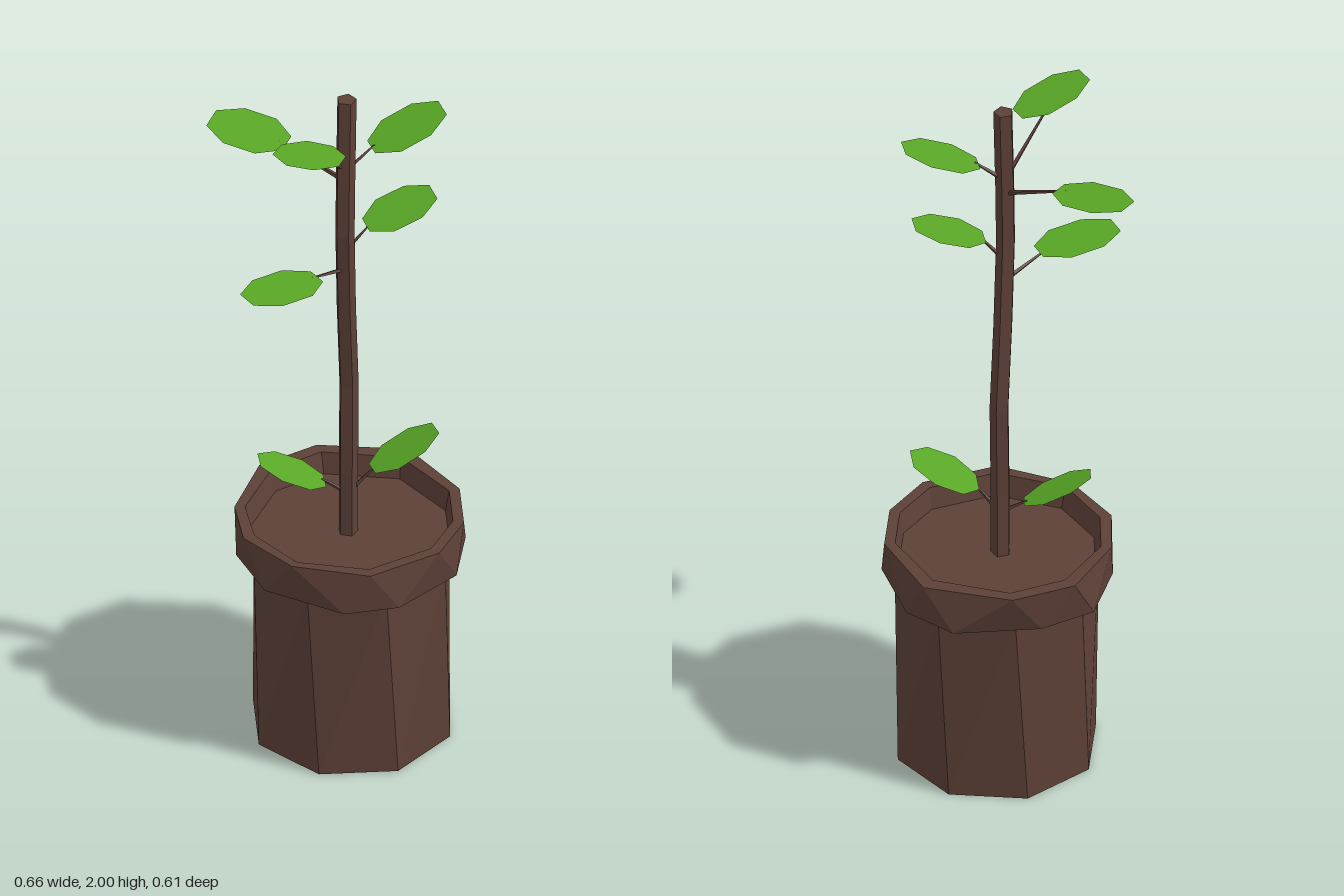
import * as THREE from 'three';

const bark = new THREE.MeshStandardMaterial({ color: 0x5d4037 });
bark.name = 'brown';
const green = new THREE.MeshStandardMaterial({ color: 0x58a625, side: THREE.DoubleSide });
green.name = 'leafGreen';

// Horizontal ring of points from angles in degrees (from +x towards +z) and radii
function ring(cx, y, cz, angles, radii) {
  return angles.map((a, i) => {
    const r = Array.isArray(radii) ? radii[i] : radii;
    const t = THREE.MathUtils.degToRad(a);
    return [cx + r * Math.cos(t), y, cz + r * Math.sin(t)];
  });
}

const even = (n, start = 0) => Array.from({ length: n }, (_, i) => start + (i * 360) / n);

// Faceted skin through a list of rings, optionally capped at both ends
function loft(name, rings, capStart, capEnd) {
  const p = [];
  const n = rings[0].length;
  for (let k = 0; k < rings.length - 1; k++) {
    for (let i = 0; i < n; i++) {
      const j = (i + 1) % n;
      const a = rings[k][i], b = rings[k][j], c = rings[k + 1][i], d = rings[k + 1][j];
      p.push(...a, ...c, ...b, ...b, ...c, ...d);
    }
  }
  const first = rings[0], last = rings[rings.length - 1];
  for (let i = 1; i < n - 1; i++) {
    if (capStart) p.push(...first[0], ...first[i], ...first[i + 1]);
    if (capEnd) p.push(...last[0], ...last[i + 1], ...last[i]);
  }
  const g = new THREE.BufferGeometry();
  g.setAttribute('position', new THREE.Float32BufferAttribute(p, 3));
  g.computeVertexNormals();
  const mesh = new THREE.Mesh(g, bark);
  mesh.name = name;
  return mesh;
}

// Thin tapered stalk between two points
function stalk(from, to) {
  const a = new THREE.Vector3(...from), b = new THREE.Vector3(...to);
  const dir = b.clone().sub(a);
  const g = new THREE.CylinderGeometry(0.003, 0.007, dir.length(), 4).toNonIndexed();
  g.computeVertexNormals();
  const mesh = new THREE.Mesh(g, bark);
  mesh.name = 'stalk';
  mesh.position.copy(a).add(b).multiplyScalar(0.5);
  mesh.quaternion.setFromUnitVectors(new THREE.Vector3(0, 1, 0), dir.normalize());
  return mesh;
}

// Flat eight-sided leaf, pointing along (dx, dz) and sloping by sx, sz
function leaf({ c, dir, len, wid, slope }) {
  const [dx, dz] = new THREE.Vector2(...dir).normalize().toArray();
  const outline = [[-0.5, -0.2], [-0.22, -0.5], [0.2, -0.5], [0.5, -0.22],
    [0.5, 0.22], [0.2, 0.5], [-0.22, 0.5], [-0.5, 0.2]];
  const pts = outline.map(([u, v]) => {
    const x = u * len * dx - v * wid * dz;
    const z = u * len * dz + v * wid * dx;
    return [c[0] + x, c[1] + slope[0] * x + slope[1] * z, c[2] + z];
  });
  const p = [];
  for (let i = 1; i < 7; i++) p.push(...pts[0], ...pts[i + 1], ...pts[i]);
  const g = new THREE.BufferGeometry();
  g.setAttribute('position', new THREE.Float32BufferAttribute(p, 3));
  g.computeVertexNormals();
  const mesh = new THREE.Mesh(g, green);
  mesh.name = 'leaf';
  return mesh;
}

export function createModel() {
  const model = new THREE.Group();
  model.name = 'pottedSapling';

  // Slightly twisted octagonal pot
  model.add(loft('potBody', [
    ring(0.03, 0, 0, even(8, 0), 0.272),
    ring(0.03, 0.57, 0, even(8, 7), 0.272),
  ], true, false));

  // Uneven rim with zigzag facets, inner wall and soil
  const low = [-95, -50, -21, 18, 51, 91, 119, 165, 200, 235];
  const lowR = [0.29, 0.315, 0.312, 0.31, 0.31, 0.305, 0.305, 0.295, 0.297, 0.312];
  const high = [-79, -34, 8, 37, 66, 106, 147, 182, 210, 248];
  const highR = [0.31, 0.32, 0.307, 0.307, 0.307, 0.306, 0.296, 0.304, 0.3, 0.312];
  model.add(loft('potRim', [
    ring(0.03, 0.548, 0, low, 0.245),
    ring(0.022, 0.548, 0, low, lowR),
    ring(0.022, 0.667, 0, high, highR),
    ring(0.025, 0.667, 0, high, 0.275),
    ring(0.028, 0.605, 0, high, 0.262),
  ], false, false));
  model.add(loft('soil', [
    ring(0.028, 0.6, 0, high, 0.264),
    ring(0.028, 0.605, 0, high, 0.264),
  ], false, true));

  // Gently bending trunk
  const path = [[0.018, 0.6, 0.003], [0.018, 0.8, 0.003], [0.023, 1.07, -0.004],
    [0.008, 1.33, 0.01], [-0.004, 1.58, 0.026], [-0.002, 1.75, 0.026], [0.006, 2, 0.018]];
  model.add(loft('trunk', path.map(([x, y, z]) => ring(x, y, z, even(5, 20), 0.027)), true, true));

  // Leaves with their stalks
  const twigs = [
    { c: [-0.175, 1.827, -0.19], dir: [-0.65, -0.76], len: 0.215, wid: 0.15, slope: [0, -0.14],
      from: [-0.005, 1.745, 0.01], to: [-0.12, 1.816, -0.125] },
    { c: [-0.216, 1.506, 0.083], dir: [-1, 0.15], len: 0.225, wid: 0.14, slope: [-0.07, 0],
      from: [0, 1.46, 0.02], to: [-0.12, 1.497, 0.065] },
    { c: [-0.16, 1.945, 0.133], dir: [-1, 0.2], len: 0.2, wid: 0.135, slope: [-0.3, 0],
      from: [-0.005, 1.785, 0.025], to: [-0.14, 1.935, 0.095] },
    { c: [-0.122, 0.812, -0.045], dir: [-1, -0.3], len: 0.175, wid: 0.12, slope: [-0.45, -0.25],
      from: [0.01, 0.735, 0.003], to: [-0.045, 0.773, -0.025] },
    { c: [0.17, 1.876, 0.045], dir: [1, 0.1], len: 0.2, wid: 0.145, slope: [0.38, 0],
      from: [0.005, 1.78, 0.025], to: [0.08, 1.842, 0.035] },
    { c: [0.146, 1.627, 0.05], dir: [1, 0.12], len: 0.188, wid: 0.145, slope: [0.33, 0],
      from: [0, 1.52, 0.025], to: [0.065, 1.597, 0.04] },
    { c: [0.156, 0.858, 0.055], dir: [1, 0.15], len: 0.175, wid: 0.145, slope: [0.5, 0.22],
      from: [0.02, 0.73, 0.003], to: [0.082, 0.815, 0.04] },
  ];
  for (const t of twigs) {
    const twig = new THREE.Group();
    twig.name = 'twig';
    twig.add(stalk(t.from, t.to), leaf(t));
    model.add(twig);
  }
  return model;
}
